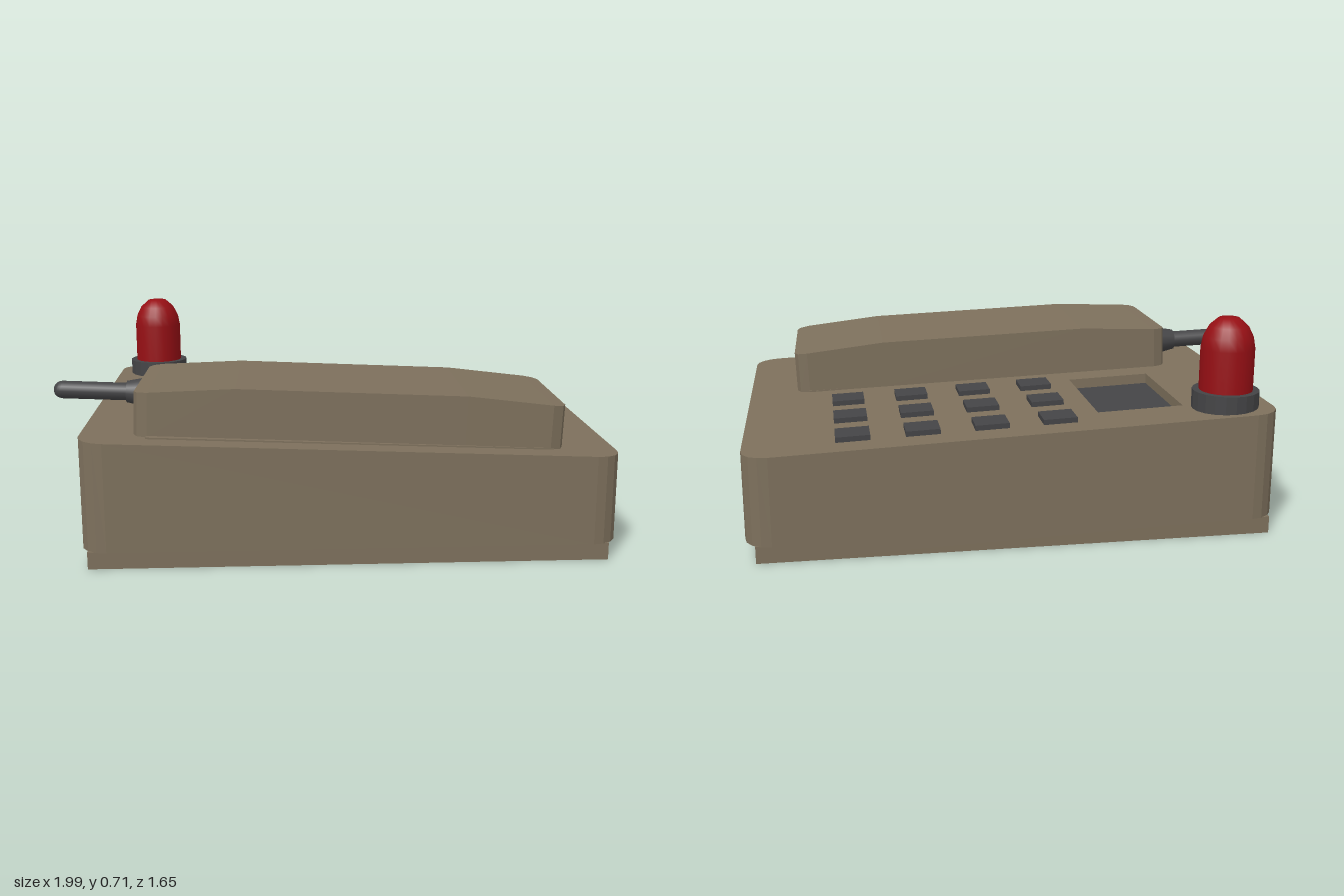
import * as THREE from 'three';

const tan = new THREE.MeshStandardMaterial({ color: 0x7d705c, flatShading: true });
const dark = new THREE.MeshStandardMaterial({ color: 0x444446, flatShading: true });
const darkSmooth = new THREE.MeshStandardMaterial({ color: 0x444446 });
const red = new THREE.MeshStandardMaterial({ color: 0x960f14 });

const SLOPE = 0.041;
const topY = (x) => 0.3775 - SLOPE * x;

function add(parent, name, geometry, material, x = 0, y = 0, z = 0) {
  const mesh = new THREE.Mesh(geometry, material);
  mesh.name = name;
  mesh.position.set(x, y, z);
  parent.add(mesh);
  return mesh;
}

// Move every vertex by a rule
function reshape(geometry, rule) {
  const p = geometry.attributes.position;
  const v = new THREE.Vector3();
  for (let i = 0; i < p.count; i++) {
    rule(v.fromBufferAttribute(p, i));
    p.setXYZ(i, v.x, v.y, v.z);
  }
  geometry.computeVertexNormals();
  return geometry;
}

// Sloped casing with rounded corners and an opening for the display
function casingGeometry() {
  const w = 0.86, d = 0.655, r = 0.085;
  const shape = new THREE.Shape();
  const corners = [[1, 1], [-1, 1], [-1, -1], [1, -1]];
  corners.forEach(([sx, sy], i) =>
    shape.absarc(sx * (w - r), sy * (d - r), r, i * Math.PI / 2, (i + 1) * Math.PI / 2, false));
  shape.closePath();
  const hole = new THREE.Path();
  hole.moveTo(-0.58, 0.04).lineTo(-0.58, 0.475).lineTo(-0.291, 0.475).lineTo(-0.291, 0.04).closePath();
  shape.holes.push(hole);
  const geometry = new THREE.ExtrudeGeometry(shape, { depth: 1, bevelEnabled: false, curveSegments: 2 });
  geometry.rotateX(-Math.PI / 2);
  return reshape(geometry, (v) => { v.y = v.y > 0.5 ? topY(v.x) : 0.055; });
}

// Handset: thick in the middle, thinner and rounded at both ends
function handsetGeometry() {
  const stations = [
    [-0.69, 0.21, 0.14], [-0.678, 0.237, 0.141], [-0.645, 0.25, 0.144], [-0.37, 0.25, 0.165],
    [0.37, 0.25, 0.165], [0.645, 0.25, 0.144], [0.678, 0.237, 0.141], [0.69, 0.21, 0.14],
  ];
  const n = stations.length - 1;
  return reshape(new THREE.BoxGeometry(1, 1, 1, n, 1, 1), (v) => {
    const [x, halfWidth, height] = stations[Math.round((v.x + 0.5) * n)];
    v.set(x, v.y > 0 ? height : 0, Math.sign(v.z) * halfWidth);
  });
}

export function createModel() {
  const model = new THREE.Group();
  model.name = 'deskTelephone';

  const phone = new THREE.Group();
  phone.name = 'phone';
  phone.position.x = 0.025;
  phone.rotation.y = -0.239;
  model.add(phone);

  add(phone, 'basePlate', new THREE.BoxGeometry(1.663, 0.056, 1.29), tan, -0.005, 0.028, 0);
  add(phone, 'casing', casingGeometry(), tan);

  // Everything lying on the sloped top
  const deck = new THREE.Group();
  deck.name = 'deck';
  deck.position.y = 0.3775;
  deck.rotation.z = -SLOPE;
  phone.add(deck);

  add(deck, 'display', new THREE.BoxGeometry(0.289, 0.04, 0.435), dark, -0.4355, -0.055, -0.2575);

  const keyGeometry = new THREE.BoxGeometry(0.11, 0.03, 0.1);
  for (let row = 0; row < 3; row++)
    for (let col = 0; col < 4; col++)
      add(deck, 'key', keyGeometry, dark, -0.148 + 0.221 * col, 0.002, -0.514 + 0.212 * row);

  add(deck, 'cradle', new THREE.BoxGeometry(1.3, 0.02, 0.505), tan, 0, -0.005, 0.327);

  const handset = add(deck, 'handset', handsetGeometry(), tan, 0, 0, 0.317);
  handset.rotation.y = -0.015;

  // Stub antenna with a tapered collar on the end of the handset
  const collar = add(handset, 'antennaCollar', new THREE.CylinderGeometry(0.038, 0.054, 0.075, 12),
    darkSmooth, -0.718, 0.068, -0.115);
  collar.rotation.z = Math.PI / 2;
  const antenna = add(handset, 'antenna', new THREE.CapsuleGeometry(0.031, 0.25, 5, 12),
    darkSmooth, -0.85, 0.068, -0.115);
  antenna.rotation.z = Math.PI / 2;

  // Upright warning light
  const light = new THREE.Group();
  light.name = 'warningLight';
  light.position.set(-0.709, 0, -0.521);
  phone.add(light);
  add(light, 'lightCollar', new THREE.CylinderGeometry(0.11, 0.11, 0.075, 20), dark, 0, 0.4275, 0);
  const dome = [[0.088, 0.44], [0.088, 0.605], [0.081, 0.643], [0.064, 0.677], [0.034, 0.704], [0, 0.707]];
  add(light, 'lightDome',
    new THREE.LatheGeometry(dome.map(([r, y]) => new THREE.Vector2(r, y)), 20), red);

  return model;
}
